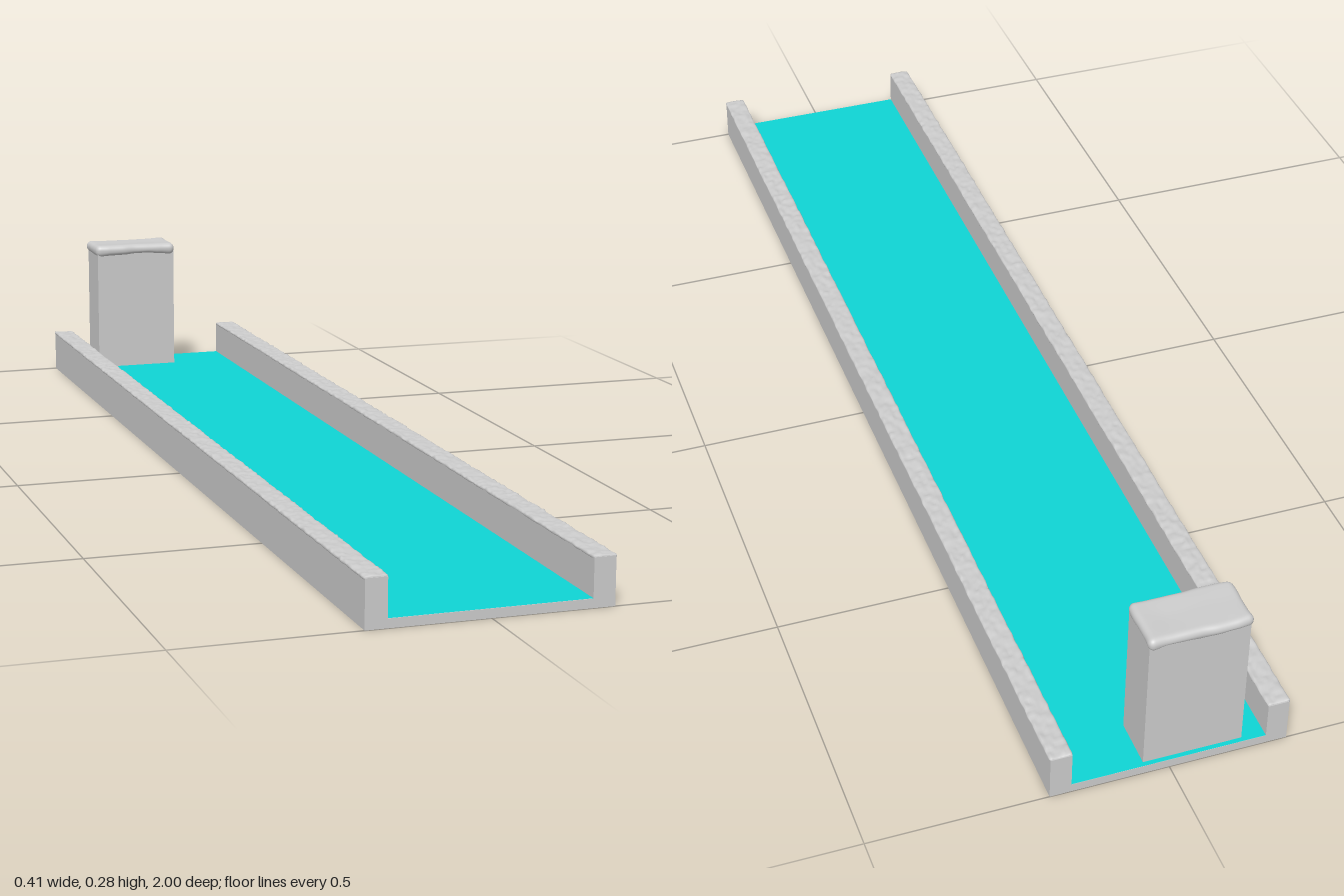
import * as THREE from 'three';
import { mergeVertices } from 'three/addons/utils/BufferGeometryUtils.js';

const grey = new THREE.MeshStandardMaterial({ color: 0xcccccc });
const teal = new THREE.MeshStandardMaterial({ color: 0x0fd4d4 });

// smooth value noise in [-1, 1]
function hash(i, j) {
  const s = Math.sin(i * 127.1 + j * 311.7) * 43758.5453;
  return (s - Math.floor(s)) * 2 - 1;
}
function noise(u, v) {
  const i = Math.floor(u), j = Math.floor(v);
  const a = THREE.MathUtils.smoothstep(u - i, 0, 1);
  const b = THREE.MathUtils.smoothstep(v - j, 0, 1);
  const { lerp } = THREE.MathUtils;
  return lerp(lerp(hash(i, j), hash(i + 1, j), a), lerp(hash(i, j + 1), hash(i + 1, j + 1), a), b);
}

function addBox(parent, name, x0, x1, y0, y1, z0, z1) {
  const mesh = new THREE.Mesh(new THREE.BoxGeometry(x1 - x0, y1 - y0, z1 - z0), grey);
  mesh.position.set((x0 + x1) / 2, (y0 + y1) / 2, (z0 + z1) / 2);
  mesh.name = name;
  parent.add(mesh);
}

// Pillow of snow: a fine box rounded to radius h / 2, then made lumpy by a rule
function snowGeometry(w, h, d, segments, lump) {
  const box = new THREE.BoxGeometry(w, h, d, ...segments);
  box.deleteAttribute('normal');
  box.deleteAttribute('uv');
  const geo = mergeVertices(box, 1e-5);
  const pos = geo.attributes.position;
  const r = h / 2;
  const p = new THREE.Vector3(), core = new THREE.Vector3();
  const inner = new THREE.Vector3(w / 2 - r, 0, d / 2 - r);
  for (let i = 0; i < pos.count; i++) {
    p.fromBufferAttribute(pos, i);
    core.copy(p).clamp(inner.clone().negate(), inner);
    p.sub(core).setLength(r).add(core);
    lump(p, r);
    pos.setXYZ(i, p.x, p.y, p.z);
  }
  geo.computeVertexNormals();
  return geo;
}

export function createModel() {
  const group = new THREE.Group();

  // Channel: floor slab and two side walls
  addBox(group, 'floor', -0.2, 0.2, 0, 0.015, -1, 1);
  for (const [side, name] of [[-1, 'right'], [1, 'left']]) {
    const xs = [side * 0.164, side * 0.2].sort((a, b) => a - b);
    addBox(group, name + 'Wall', xs[0], xs[1], 0.015, 0.079, -1, 1);

    // Rough crust of snow on the wall top
    const crust = snowGeometry(0.039, 0.006, 1.998, [12, 2, 440], (p) => {
      const rough = noise(p.x * 130 + side * 50, p.z * 110) * 0.7 + noise(p.x * 260, p.z * 230 + side * 90) * 0.3;
      if (p.y > 0) p.y += rough * 0.0022;
      p.x += noise(p.z * 60, side * 7) * 0.0008;
    });
    const mesh = new THREE.Mesh(crust, grey);
    mesh.position.set(side * 0.1825, 0.0785, 0);
    mesh.name = name + 'WallSnow';
    group.add(mesh);
  }

  // Water surface
  const water = new THREE.Mesh(new THREE.PlaneGeometry(0.328, 2).rotateX(-Math.PI / 2), teal);
  water.position.y = 0.0155;
  water.name = 'water';
  group.add(water);

  // Pillar
  addBox(group, 'pillar', -0.125, 0.042, 0.015, 0.265, -0.992, -0.908);

  // Snow cap with an uneven drooping rim
  const cap = snowGeometry(0.174, 0.021, 0.095, [60, 8, 36], (p, r) => {
    const wave = noise(p.x * 38 + 3, p.z * 38 + 8);
    if (p.y < 0) p.y += wave * 0.0035 * (-p.y / r);
    else p.y += noise(p.x * 25 + 9, p.z * 25) * 0.0012;
    p.x *= 1 + noise(p.z * 45, 4) * 0.015;
    p.z *= 1 + noise(p.x * 35, 11) * 0.035;
  });
  const capMesh = new THREE.Mesh(cap, grey);
  capMesh.position.set(-0.0425, 0.2672, -0.95);
  capMesh.name = 'pillarSnow';
  group.add(capMesh);

  return group;
}
